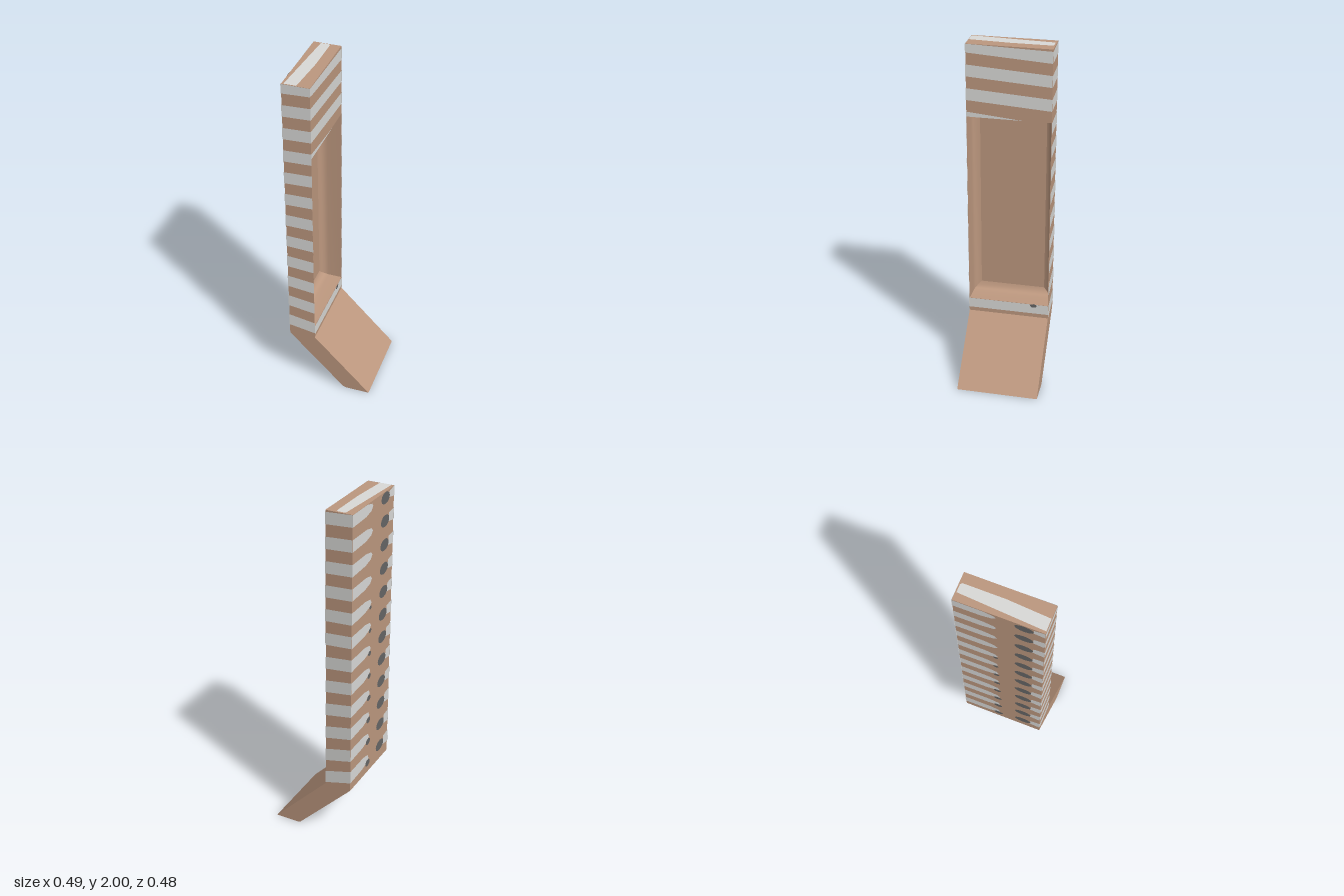
import * as THREE from 'three';
import { mergeGeometries } from 'three/addons/utils/BufferGeometryUtils.js';

const material = (name, color) => new THREE.MeshStandardMaterial({ name, color, side: THREE.DoubleSide });

// column limits: back and front of the shank, half width
const XB = -0.243, XF = -0.09, Z = 0.237, LIFT = 0.002;
const RECESS = [0.43, 1.585];

// flat polygon in space as a triangle fan
function patch(points) {
  const pos = [];
  for (let i = 1; i < points.length - 1; i++) pos.push(...points[0], ...points[i], ...points[i + 1]);
  const g = new THREE.BufferGeometry();
  g.setAttribute('position', new THREE.Float32BufferAttribute(pos, 3));
  g.computeVertexNormals();
  return g;
}

// rounded spot on the back face
function spot(x, y, z, rz, ry) {
  const pts = [];
  for (let i = 0; i < 12; i++) {
    const a = -i / 12 * Math.PI * 2;
    pts.push([x, y + ry * Math.sin(a), z + rz * Math.cos(a)]);
  }
  return patch(pts);
}

function extrude(points, depth, z) {
  const shape = new THREE.Shape(points.map(p => new THREE.Vector2(...p)));
  return new THREE.ExtrudeGeometry(shape, { depth, bevelEnabled: false }).translate(0, 0, z);
}

// smooth, round-cornered lining of the recess: one strip per side through nested rings
function recessLining() {
  const rings = [[XF, 0.235, 0], [-0.17, 0.231, 0.004], [-0.192, 0.225, 0.012], [-0.207, 0.212, 0.026], [-0.215, 0.19, 0.05]];
  const corners = rings.map(([x, hz, inset]) => {
    const b = RECESS[0] + inset, t = RECESS[1] - inset;
    return [[x, b, hz], [x, b, -hz], [x, t, -hz], [x, t, hz]];
  });
  const sides = [];
  for (let s = 0; s < 4; s++) {
    const pos = [], index = [];
    corners.forEach((c, r) => {
      pos.push(...c[s], ...c[(s + 1) % 4]);
      if (r) {
        const a = 2 * r - 2;
        index.push(a, a + 1, a + 3, a, a + 3, a + 2);
      }
    });
    const g = new THREE.BufferGeometry();
    g.setAttribute('position', new THREE.Float32BufferAttribute(pos, 3));
    g.setIndex(index);
    g.computeVertexNormals();
    sides.push(g.toNonIndexed());
  }
  sides.push(patch(corners[corners.length - 1]));
  return mergeGeometries(sides);
}

export function createModel() {
  const model = new THREE.Group();
  const tan = material('tan', 0xbd987f);
  const white = material('paleGrey', 0xdadad8);
  const dark = material('darkGrey', 0x666666);
  const add = (name, geometry, mat) => {
    const mesh = new THREE.Mesh(geometry, mat);
    mesh.name = name;
    model.add(mesh);
  };
  const box = (name, x0, x1, y0, y1, z0, z1) => add(name,
    new THREE.BoxGeometry(x1 - x0, y1 - y0, z1 - z0).translate((x0 + x1) / 2, (y0 + y1) / 2, (z0 + z1) / 2), tan);

  // angled foot with the sill below the recess
  add('foot', extrude([[XB, RECESS[0]], [XB, 0.34], [0.085, 0.005], [0.1, 0], [0.243, 0], [XF, 0.345], [XF, RECESS[0]]], 2 * Z, -Z), tan);

  // hollow column
  box('head', XB, XF, RECESS[1], 1.998, -Z, Z);
  box('backPanel', XB, -0.22, RECESS[0], RECESS[1], -Z, Z);
  for (const s of [-1, 1]) {
    const a = s * Z, b = s * 0.2355;
    box(s > 0 ? 'frontWall' : 'rearWall', XB, XF, RECESS[0], RECESS[1], Math.min(a, b), Math.max(a, b));
  }
  add('recess', recessLining(), tan);

  // painted bands, gently tilted on the long faces and fading on the back
  const bands = [], spots = [];
  const zo = Z + LIFT, xb = XB - LIFT, xf = XF + LIFT;
  for (let i = 0; i < 12; i++) {
    const y0 = 0.405 + 0.1465 * i - 0.0006 * i * i;
    const h = 0.077 - 0.001 * i;
    const tilt = Math.min(0.006, -0.026 + 0.005 * i);
    const top = y => Math.min(y + h, 1.998);
    const yr = y0 + tilt;

    // narrow faces
    bands.push(patch([[xb, y0, zo], [xf, yr, zo], [xf, top(yr), zo], [xb, top(y0), zo]]));
    const q0 = y0 - 0.012, q1 = yr - 0.028;
    bands.push(patch([[xf, q1, -zo], [xb, q0, -zo], [xb, top(q0), -zo], [xf, top(q1), -zo]]));

    // face above the recess
    if (i > 7) {
      const low = y => Math.max(y, RECESS[1]);
      const a = yr, b = yr - 0.03;
      if (i > 8) bands.push(patch([[xf, low(a), Z], [xf, low(b), -Z], [xf, top(b), -Z], [xf, top(a), Z]]));
      else bands.push(patch([[xf, RECESS[1], Z], [xf, RECESS[1], -0.08], [xf, a + h, Z]]));
    }

    // back face: tongue from the rear edge, short tab at the front edge, spot beside it
    bands.push(patch([[xb, q0, -Z], [xb, q0 + 0.004, -0.09], [xb, q0 + 0.018, -0.03], [xb, q0 + 0.038, -0.012],
      [xb, q0 + h - 0.012, -0.025], [xb, top(q0), -0.08], [xb, top(q0), -Z]]));
    bands.push(patch([[xb, y0 + 0.01, 0.175], [xb, y0, Z], [xb, top(y0), Z], [xb, top(y0) - 0.008, 0.18]]));
    spots.push(spot(xb - LIFT / 2, (y0 + top(y0)) / 2 - 0.006, 0.13, 0.05, Math.min(h / 2, 0.034)));
    if (i < 8) spots.push(spot(xb - LIFT / 2, q0 + 0.012, -0.025, 0.028 - 0.002 * i, 0.022 - 0.0015 * i));
  }

  // band on the sill and streak on the top
  bands.push(patch([[xf, 0.37, Z], [xf, 0.37, -Z], [xf, RECESS[0], -Z], [xf, RECESS[0], Z]]));
  bands.push(patch([[-0.23, 2, 0.235], [-0.162, 2, 0.235], [-0.147, 2, 0], [-0.147, 2, -0.22], [-0.155, 2, -0.23], [-0.2, 2, -0.23]]));
  spots.push(spot(xf + LIFT / 2, 0.422, -0.15, 0.02, 0.012));

  add('bands', mergeGeometries(bands), white);
  add('spots', mergeGeometries(spots), dark);
  return model;
}
